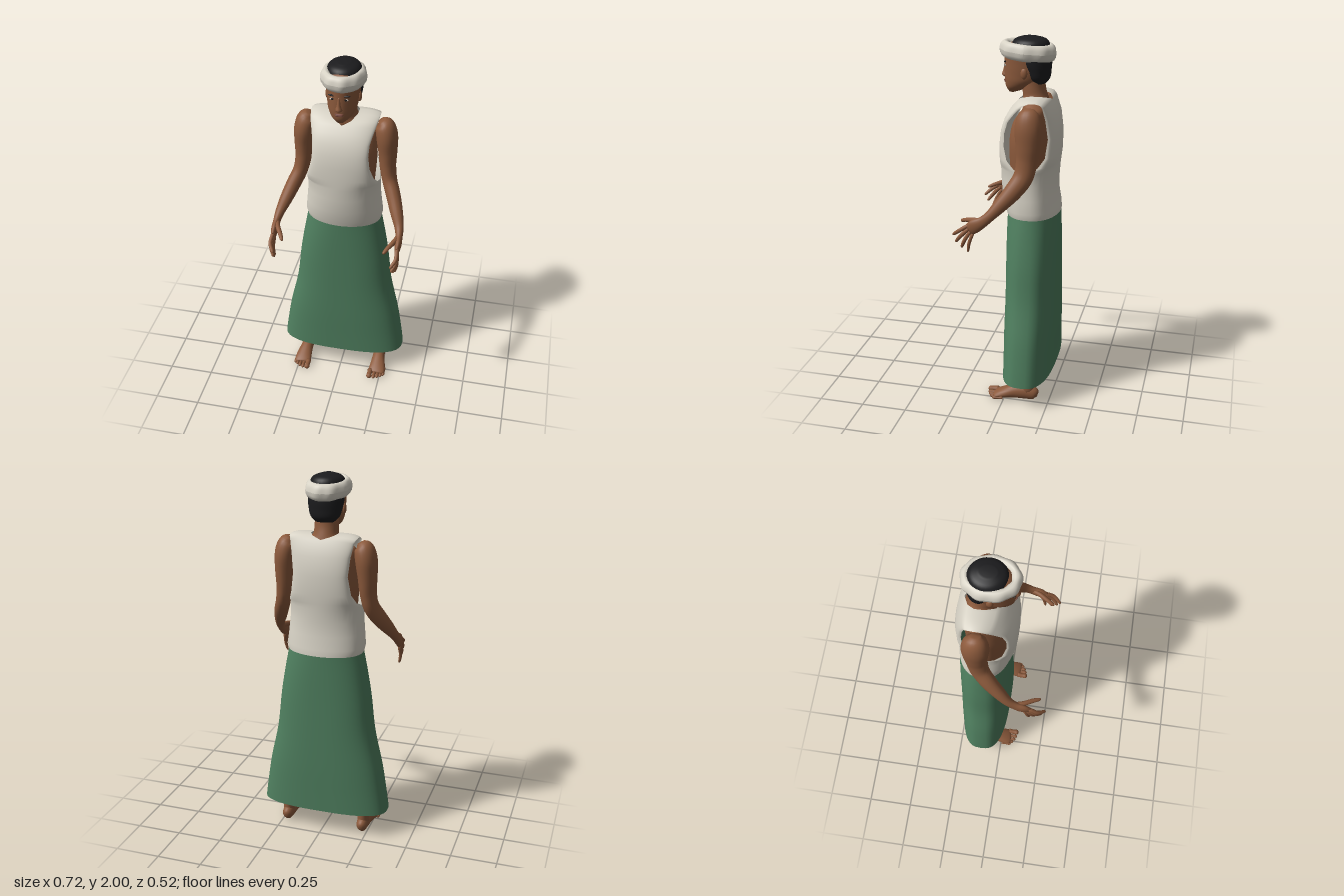
import * as THREE from 'three';
import { mergeVertices } from 'three/addons/utils/BufferGeometryUtils.js';

const material = (name, color, side = THREE.FrontSide) => {
  const m = new THREE.MeshStandardMaterial({ color, side });
  m.name = name;
  return m;
};

// Loft of rounded rings. Each section is [x, y, z, radiusU, radiusV, squareness].
// level: rings stay horizontal (sections run upward); otherwise they follow the path.
function loft(sections, { level = false, open = false, steps = 5, sides = 20 } = {}) {
  const path = new THREE.CatmullRomCurve3(sections.map(s => new THREE.Vector3(s[0], s[1], s[2])), false, 'catmullrom');
  const size = new THREE.CatmullRomCurve3(sections.map(s => new THREE.Vector3(s[3], s[4], s[5] ?? 1)), false, 'catmullrom');
  const rows = (sections.length - 1) * steps;
  const pos = [], index = [];
  const bend = (v, e) => Math.sign(v) * Math.abs(v) ** e;
  for (let i = 0; i <= rows; i++) {
    const t = i / rows, c = path.getPoint(t), r = size.getPoint(t);
    const T = level ? new THREE.Vector3(0, 1, 0) : path.getTangent(t);
    const U = new THREE.Vector3(1, 0, 0).addScaledVector(T, -T.x).normalize();
    const V = new THREE.Vector3().crossVectors(T, U);
    for (let j = 0; j < sides; j++) {
      const a = j / sides * Math.PI * 2;
      const p = c.clone().addScaledVector(U, bend(Math.cos(a), r.z) * Math.max(r.x, 0.001))
        .addScaledVector(V, bend(Math.sin(a), r.z) * Math.max(r.y, 0.001));
      pos.push(p.x, p.y, p.z);
      if (i < rows) {
        const k = (j + 1) % sides, a0 = i * sides + j, b0 = i * sides + k;
        index.push(a0, b0, b0 + sides, a0, b0 + sides, a0 + sides);
      }
    }
  }
  if (!open) {
    const n = pos.length / 3, last = rows * sides;
    const s = path.getPoint(0), e = path.getPoint(1);
    pos.push(s.x, s.y, s.z, e.x, e.y, e.z);
    for (let j = 0; j < sides; j++) {
      const k = (j + 1) % sides;
      index.push(n, k, j, n + 1, last + j, last + k);
    }
  }
  const g = new THREE.BufferGeometry();
  g.setAttribute('position', new THREE.Float32BufferAttribute(pos, 3));
  g.setIndex(index);
  g.computeVertexNormals();
  return g;
}

// Vest: one strip from the front hem over the shoulders to the back hem.
// Each row is [y, z at centre, half width, z at edge, half width of neck opening].
function vestGeometry() {
  const rows = [
    [1.065, 0.03, 0.205, -0.115], [1.1, 0.04, 0.212, -0.11], [1.17, 0.056, 0.204, -0.105],
    [1.25, 0.062, 0.196, -0.1], [1.32, 0.065, 0.196, -0.095], [1.34, 0.066, 0.19, -0.04],
    [1.38, 0.066, 0.176, 0], [1.45, 0.065, 0.156, 0.02], [1.52, 0.057, 0.148, 0.018],
    [1.58, 0.038, 0.151, 0], [1.63, 0.01, 0.161, -0.03], [1.665, -0.022, 0.172, -0.06],
    [1.685, -0.045, 0.178, -0.085, 0.045], [1.7, -0.1, 0.182, -0.115, 0.068],
    [1.702, -0.15, 0.182, -0.15, 0.07], [1.695, -0.185, 0.178, -0.175, 0.05],
    [1.68, -0.208, 0.172, -0.185], [1.6, -0.243, 0.158, -0.2], [1.5, -0.257, 0.147, -0.212],
    [1.4, -0.255, 0.162, -0.2], [1.35, -0.25, 0.182, -0.165], [1.32, -0.248, 0.196, -0.095],
    [1.25, -0.243, 0.196, -0.1], [1.17, -0.245, 0.204, -0.105], [1.1, -0.257, 0.212, -0.11],
    [1.065, -0.258, 0.205, -0.115],
  ];
  const N = 12, cols = 2 * N + 2, pos = [], index = [];
  rows.forEach(([y, zc, w, ze, inner = 0], i) => {
    for (let j = 0; j < cols; j++) {
      const s = j <= N ? -1 : 1, u = (j <= N ? N - j : j - N - 1) / N * Math.PI / 2;
      const drop = y > 1.6 ? 0.012 * Math.sin(u) ** 4 : 0;
      pos.push(s * (inner + (w - inner) * Math.sin(u)), y - drop, ze + (zc - ze) * (u > 1.57 ? 0 : Math.cos(u) ** 0.85));
      if (i < rows.length - 1 && j < cols - 1 && j !== N) {
        const a = i * cols + j, d = a + cols;
        index.push(a, a + 1, d + 1, a, d + 1, d);
      }
    }
  });
  let g = new THREE.BufferGeometry();
  g.setAttribute('position', new THREE.Float32BufferAttribute(pos, 3));
  g.setIndex(index);
  g = mergeVertices(g, 1e-5);
  g.computeVertexNormals();
  return g;
}

// Rolled headband: a torus stretched to the head with soft lumps.
function headbandGeometry() {
  const g = new THREE.TorusGeometry(0.1, 0.03, 14, 64).rotateX(Math.PI / 2);
  const p = g.attributes.position;
  for (let i = 0; i < p.count; i++) {
    const x = p.getX(i), z = p.getZ(i), a = Math.atan2(z, x);
    const d = (Math.hypot(x, z) - 0.1) * (0.92 + 0.1 * Math.cos(9 * a));
    const nz = Math.sin(a) * (0.12 + d);
    p.setXYZ(i, Math.cos(a) * (0.088 + d), 1.926 + p.getY(i) * 1.45 + nz * 0.07, nz - 0.074);
  }
  g.computeVertexNormals();
  return g;
}

export function createModel() {
  const model = new THREE.Group();
  const skin = material('skin', 0x8c5a3c);
  const cream = material('cream cloth', 0xd9d4c7, THREE.DoubleSide);
  const green = material('green cloth', 0x4f7f5f, THREE.DoubleSide);
  const black = material('black hair', 0x1c1c1e);
  const lipTone = material('lips', 0x77463a);
  const eyeTone = material('eye white', 0xc9c0b4);

  const add = (name, geometry, mat, parent = model) => {
    const mesh = new THREE.Mesh(geometry, mat);
    mesh.name = name;
    parent.add(mesh);
    return mesh;
  };
  const blob = (name, mat, [x, y, z], [sx, sy, sz], tilt = 0) => {
    const m = add(name, new THREE.SphereGeometry(1, 16, 12), mat);
    m.position.set(x, y, z);
    m.scale.set(sx, sy, sz);
    m.rotation.z = tilt;
  };

  // Clothes
  add('skirt', loft([
    [0, 0.14, -0.112, 0.358, 0.138, 0.72], [0, 0.25, -0.113, 0.343, 0.139, 0.74],
    [0, 0.4, -0.114, 0.318, 0.141, 0.76], [0, 0.6, -0.115, 0.274, 0.141, 0.78],
    [0, 0.8, -0.115, 0.25, 0.141, 0.8], [0, 0.95, -0.115, 0.226, 0.141, 0.85],
    [0, 1.09, -0.115, 0.2, 0.14, 0.95],
  ], { level: true, open: true, sides: 48 }), green);
  add('vest', vestGeometry(), cream);
  add('headband', headbandGeometry(), cream);

  // Torso and neck
  add('torso', loft([
    [0, 1.0, -0.11, 0.16, 0.11], [0, 1.15, -0.11, 0.16, 0.11], [0, 1.3, -0.1, 0.165, 0.115],
    [0, 1.45, -0.1, 0.175, 0.12], [0, 1.55, -0.11, 0.172, 0.11], [0, 1.625, -0.125, 0.165, 0.075],
    [0, 1.66, -0.12, 0.115, 0.07], [0, 1.69, -0.115, 0.07, 0.066], [0, 1.74, -0.105, 0.063, 0.062],
    [0, 1.8, -0.1, 0.062, 0.062],
  ], { level: true, sides: 32 }), skin);

  // Head
  add('head', loft([
    [0, 1.708, 0.008, 0.02, 0.018], [0, 1.735, -0.02, 0.052, 0.063], [0, 1.77, -0.05, 0.073, 0.098],
    [0, 1.81, -0.065, 0.081, 0.115], [0, 1.86, -0.07, 0.086, 0.12], [0, 1.92, -0.073, 0.088, 0.12],
    [0, 1.965, -0.08, 0.07, 0.095], [0, 1.985, -0.08, 0.03, 0.04],
  ], { level: true, sides: 32 }), skin);
  add('nose', loft([
    [0, 1.785, 0.042, 0.012, 0.01], [0, 1.795, 0.046, 0.018, 0.02],
    [0, 1.82, 0.045, 0.011, 0.014], [0, 1.865, 0.04, 0.008, 0.01],
  ], { level: true, sides: 14 }), skin);
  blob('upperLip', lipTone, [0, 1.769, 0.046], [0.024, 0.005, 0.007]);
  blob('lowerLip', lipTone, [0, 1.76, 0.044], [0.02, 0.006, 0.007]);
  add('hairTop', loft([
    [0, 1.9, -0.087, 0.09, 0.1], [0, 1.955, -0.087, 0.09, 0.1],
    [0, 1.985, -0.087, 0.072, 0.082], [0, 2.0, -0.085, 0.03, 0.04],
  ], { level: true, sides: 28 }), black);
  add('hairBack', loft([
    [0, 1.762, -0.14, 0.05, 0.03], [0, 1.79, -0.132, 0.077, 0.058], [0, 1.83, -0.125, 0.088, 0.07],
    [0, 1.87, -0.115, 0.094, 0.083], [0, 1.92, -0.11, 0.094, 0.085],
  ], { level: true, sides: 28 }), black);

  for (const s of [1, -1]) {
    const side = s > 0 ? 'left' : 'right';
    const flip = sections => sections.map(([x, ...rest]) => [x * s, ...rest]);

    // Face details
    blob(side + 'Eye', eyeTone, [s * 0.034, 1.85, 0.039], [0.014, 0.006, 0.005]);
    blob(side + 'Pupil', black, [s * 0.034, 1.851, 0.0425], [0.006, 0.006, 0.003]);
    blob(side + 'Eyebrow', black, [s * 0.036, 1.87, 0.039], [0.021, 0.0045, 0.006], s * 0.1);
    blob(side + 'Ear', skin, [s * 0.083, 1.82, -0.07], [0.011, 0.028, 0.018]);

    // Arm
    add(side + 'Arm', loft(flip([
      [0.19, 1.665, -0.125, 0.02, 0.025], [0.206, 1.635, -0.125, 0.05, 0.058],
      [0.22, 1.57, -0.125, 0.057, 0.071], [0.227, 1.48, -0.125, 0.05, 0.063],
      [0.23, 1.4, -0.12, 0.044, 0.056], [0.244, 1.32, -0.105, 0.04, 0.052],
      [0.274, 1.25, -0.06, 0.039, 0.047], [0.305, 1.18, 0, 0.034, 0.037],
      [0.328, 1.125, 0.05, 0.025, 0.028], [0.336, 1.09, 0.09, 0.019, 0.03],
      [0.338, 1.065, 0.13, 0.018, 0.037], [0.337, 1.043, 0.16, 0.012, 0.033],
    ])), skin);

    // Fingers fan out from the palm: [base y, base z, tip x, tip y, tip z, radius]
    [[1.066, 0.165, 0.318, 1.0, 0.256, 0.0105], [1.051, 0.16, 0.321, 0.963, 0.24, 0.011],
      [1.036, 0.152, 0.325, 0.935, 0.208, 0.0105], [1.022, 0.142, 0.33, 0.915, 0.172, 0.009],
    ].forEach(([by, bz, tx, ty, tz, r], i) => add(side + 'Finger' + (i + 1), loft(flip([
      [0.337, by, bz, r, r], [0.341, (by + ty) / 2, (bz + tz) / 2 + 0.004, r, r],
      [tx + 0.004, ty + (by - ty) * 0.1, tz - (tz - bz) * 0.1, r * 0.8, r * 0.8], [tx, ty, tz, r * 0.3, r * 0.3],
    ]), { sides: 10, steps: 3 }), skin));
    add(side + 'Thumb', loft(flip([
      [0.333, 1.095, 0.085, 0.012, 0.015], [0.318, 1.088, 0.135, 0.013, 0.016],
      [0.294, 1.08, 0.18, 0.012, 0.011], [0.277, 1.068, 0.214, 0.009, 0.009], [0.273, 1.065, 0.222, 0.003, 0.003],
    ]), { sides: 12, steps: 3 }), skin);

    // Leg and foot
    add(side + 'Leg', loft(flip([
      [0.222, 0.05, -0.13, 0.032, 0.04], [0.222, 0.14, -0.13, 0.033, 0.042], [0.215, 0.3, -0.135, 0.05, 0.055],
      [0.19, 0.52, -0.125, 0.058, 0.062], [0.15, 0.8, -0.115, 0.08, 0.085], [0.1, 1.02, -0.11, 0.09, 0.09],
    ]), { level: true }), skin);
    add(side + 'Foot', loft(flip([
      [0.222, 0.032, -0.188, 0.01, 0.014], [0.222, 0.038, -0.17, 0.028, 0.036], [0.222, 0.046, -0.12, 0.034, 0.046],
      [0.224, 0.041, -0.06, 0.036, 0.041], [0.228, 0.029, 0, 0.045, 0.029], [0.229, 0.019, 0.04, 0.048, 0.019],
      [0.228, 0.014, 0.056, 0.038, 0.012],
    ])), skin);
    [[0.192, 0.103, 0.016], [0.218, 0.098, 0.0105], [0.238, 0.09, 0.01], [0.256, 0.078, 0.0095], [0.271, 0.064, 0.009]]
      .forEach(([x, tip, r], i) => add(side + 'Toe' + (i + 1), loft(flip([
        [x, r + 0.004, tip - 0.06, r, r], [x, r + 0.002, tip - 0.03, r * 0.9, r * 0.9],
        [x, r, tip - 0.01, r, r], [x, r, tip, r * 0.4, r * 0.4],
      ]), { sides: 10, steps: 3 }), skin));
  }
  return model;
}
